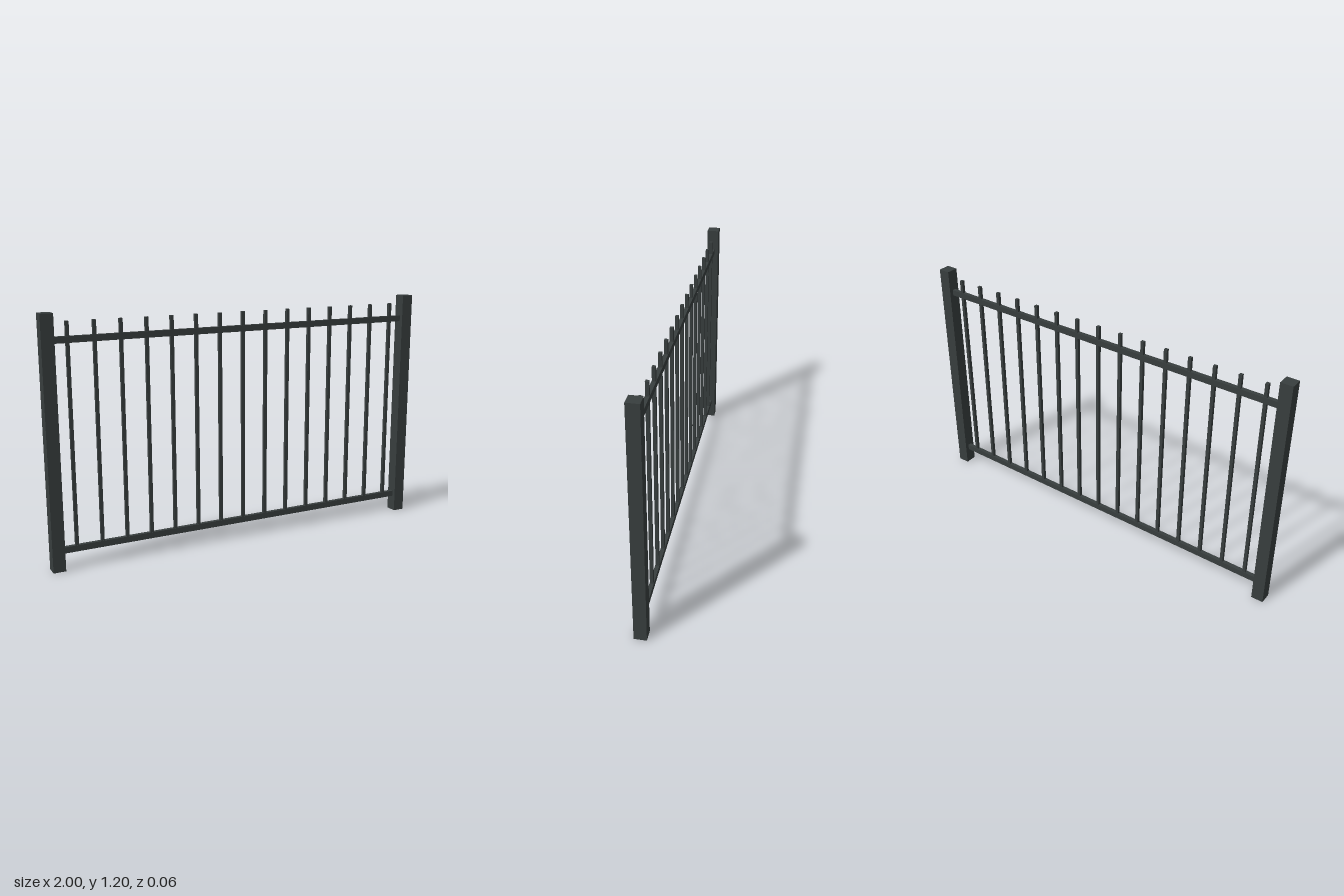
import * as THREE from 'three';

export function createModel() {
  const model = new THREE.Group();
  model.name = 'fencePanel';
  const metal = new THREE.MeshStandardMaterial({ color: 0x383e3e });
  metal.name = 'anthracite metal';

  // Box standing on height y
  const addBox = (name, w, h, d, x, y) => {
    const mesh = new THREE.Mesh(new THREE.BoxGeometry(w, h, d), metal);
    mesh.name = name;
    mesh.position.set(x, y + h / 2, 0);
    model.add(mesh);
  };

  // End posts
  addBox('leftPost', 0.06, 1.2, 0.06, 0.97, 0);
  addBox('rightPost', 0.06, 1.2, 0.06, -0.97, 0);

  // Horizontal rails between the posts
  addBox('bottomRail', 1.88, 0.03, 0.02, 0, 0.08);
  addBox('topRail', 1.88, 0.03, 0.02, 0, 1.063);

  // Evenly spaced pickets, rising past the top rail
  const count = 15;
  for (let i = 0; i < count; i++) {
    addBox(`picket${i + 1}`, 0.016, 1.065, 0.016, (i - (count - 1) / 2) * 0.125, 0.095);
  }
  return model;
}
